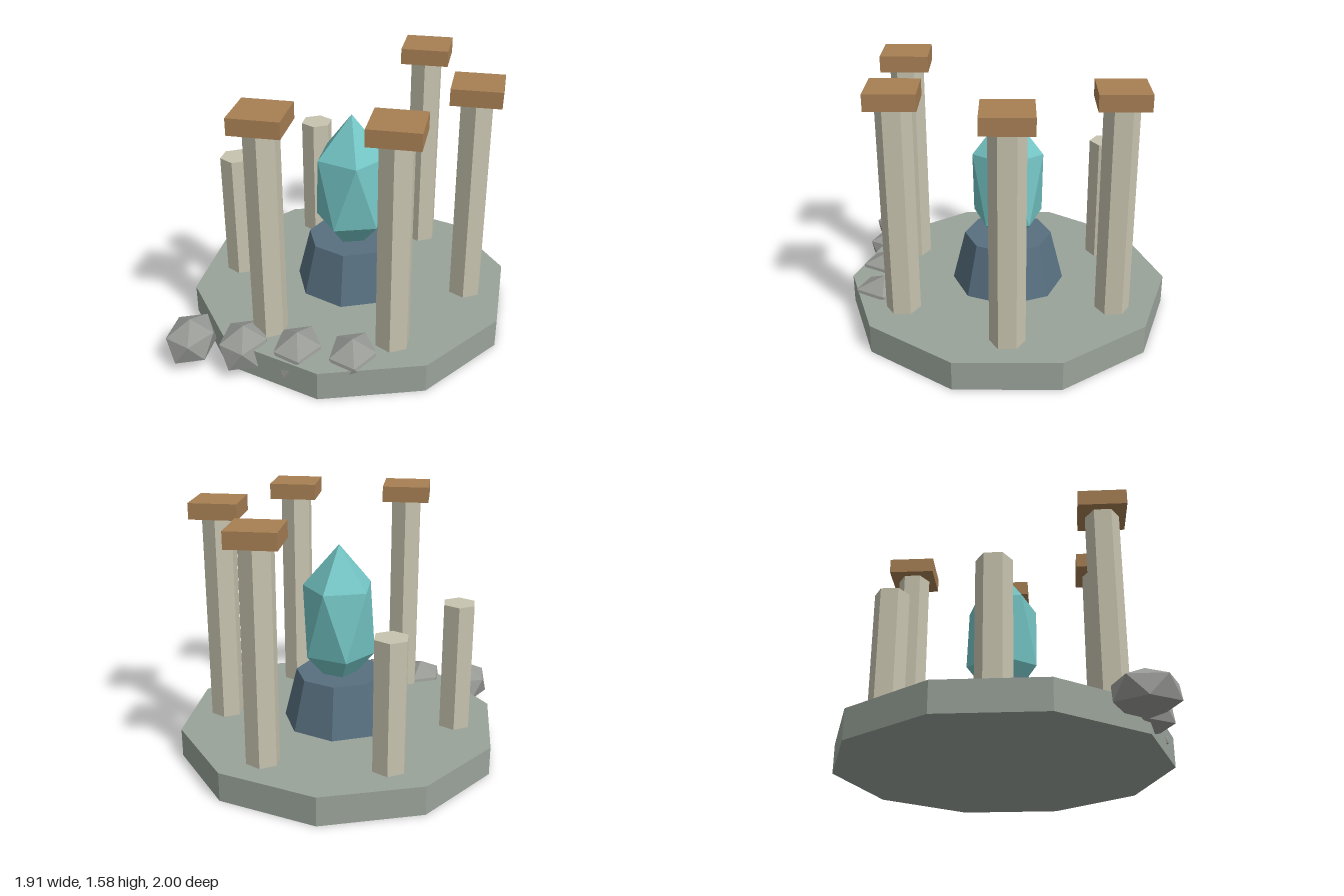
import * as THREE from 'three';

const mat = (color) => new THREE.MeshStandardMaterial({ color, flatShading: true });

// Icosahedron standing on one corner, with a corner of its upper ring facing +x
function pointedIcosahedron(rx, ry, rz) {
  const g = new THREE.IcosahedronGeometry(1, 0);
  g.rotateZ(-Math.atan(2 / (1 + Math.sqrt(5))));
  g.scale(rx, ry, rz);
  g.computeVertexNormals();
  return g;
}

export function createModel() {
  const model = new THREE.Group();
  const stone = mat(0x9aa39a), columnStone = mat(0xc8c4b0), capWood = mat(0xa88054);
  const pedestalStone = mat(0x587080), crystalGlass = mat(0x74c4c4), rockGrey = mat(0x989a96);

  const add = (name, geometry, material, x, y, z) => {
    const mesh = new THREE.Mesh(geometry, material);
    mesh.name = name;
    mesh.position.set(x, y, z);
    model.add(mesh);
    return mesh;
  };

  // Ten-sided platform
  const floor = 0.18;
  add('platform', new THREE.CylinderGeometry(1, 1, floor, 10), stone, 0, floor / 2, 0);

  // Central pedestal and crystal
  add('pedestal', new THREE.CylinderGeometry(0.27, 0.35, 0.32, 8), pedestalStone, 0, floor + 0.16, 0);
  add('crystal', pointedIcosahedron(0.25, 0.475, 0.25), crystalGlass, 0, 0.845, 0);

  // Ring of six columns: four whole with caps, two broken short
  const broken = [3, 4];
  for (let i = 0; i < 6; i++) {
    const a = (i * Math.PI) / 3;
    const x = 0.73 * Math.cos(a), z = 0.73 * Math.sin(a);
    const isBroken = broken.includes(i);
    const h = isBroken ? 0.8 : 1.3;
    add(isBroken ? 'brokenColumn' : 'column',
      new THREE.CylinderGeometry(0.104, 0.104, h, 6), columnStone, x, floor + h / 2, z);
    if (!isBroken) {
      add('columnCap', new THREE.BoxGeometry(0.292, 0.098, 0.292), capWood, x, floor + h + 0.047, z);
    }
  }

  // Row of fallen rocks, partly sunk into the platform edge
  const rockShape = pointedIcosahedron(0.157, 0.137, 0.203);
  for (let i = 0; i < 4; i++) {
    add('rock', rockShape, rockGrey, -0.815 + i * 0.324, 0.137, 0.772);
  }

  return model;
}
